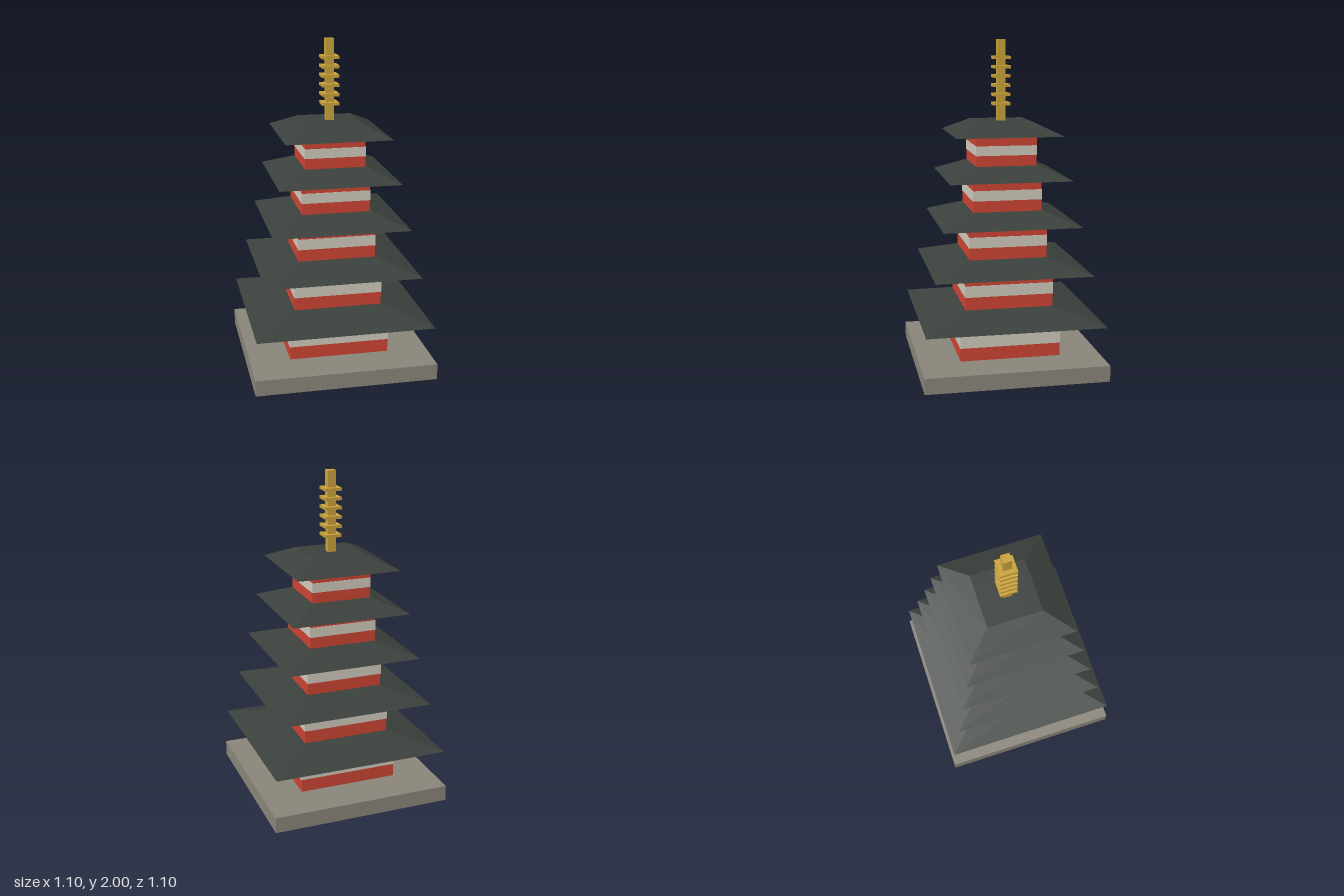
import * as THREE from 'three';

const material = (color) => new THREE.MeshStandardMaterial({ color, flatShading: true });

export function createModel() {
  const pagoda = new THREE.Group();
  pagoda.name = 'pagoda';
  const stone = material(0x8a857a);
  const red = material(0xcc4433);
  const plaster = material(0xd0c9bc);
  const tile = material(0x3a403c);
  const gold = material(0xc9a23a);

  const add = (parent, name, geometry, mat) => {
    const mesh = new THREE.Mesh(geometry, mat);
    mesh.name = name;
    parent.add(mesh);
    return mesh;
  };

  // Square block given by half width and its bottom and top heights
  const block = (parent, name, half, y0, y1, mat) => {
    const geometry = new THREE.BoxGeometry(half * 2, y1 - y0, half * 2);
    geometry.translate(0, (y0 + y1) / 2, 0);
    return add(parent, name, geometry, mat);
  };

  // Hipped roof: a truncated square pyramid
  const hippedRoof = (parent, half, y0, y1) => {
    const r = half * Math.SQRT2;
    const geometry = new THREE.CylinderGeometry(r * 0.52, r, y1 - y0, 4);
    geometry.rotateY(Math.PI / 4);
    geometry.translate(0, (y0 + y1) / 2, 0);
    return add(parent, 'roof', geometry, tile);
  };

  block(pagoda, 'plinth', 0.552, 0, 0.097, stone);

  // Storeys: [wall half width, floor, eave height, roof top, eave half width]
  const storeys = [
    [0.305, 0.097, 0.326, 0.401, 0.537],
    [0.268, 0.401, 0.624, 0.699, 0.47],
    [0.236, 0.699, 0.907, 0.982, 0.414],
    [0.208, 0.982, 1.178, 1.253, 0.366],
    [0.183, 1.253, 1.437, 1.512, 0.32],
  ];
  storeys.forEach(([wall, floor, eave, top, overhang], i) => {
    const storey = new THREE.Group();
    storey.name = `storey${i + 1}`;
    const h = eave - floor;
    block(storey, 'walls', wall, floor, eave, red);
    block(storey, 'plasterBand', wall + 0.002, floor + h * 0.35, floor + h * 0.665, plaster);
    hippedRoof(storey, overhang, eave, top);
    pagoda.add(storey);
  });

  // Finial mast with six square rings
  const finial = new THREE.Group();
  finial.name = 'finial';
  block(finial, 'mast', 0.025, 1.5, 2, gold);
  for (let i = 0; i < 6; i++) {
    const y = 1.613 + i * 0.0555;
    block(finial, `ring${i + 1}`, 0.051, y - 0.009, y + 0.009, gold);
  }
  pagoda.add(finial);

  return pagoda;
}
